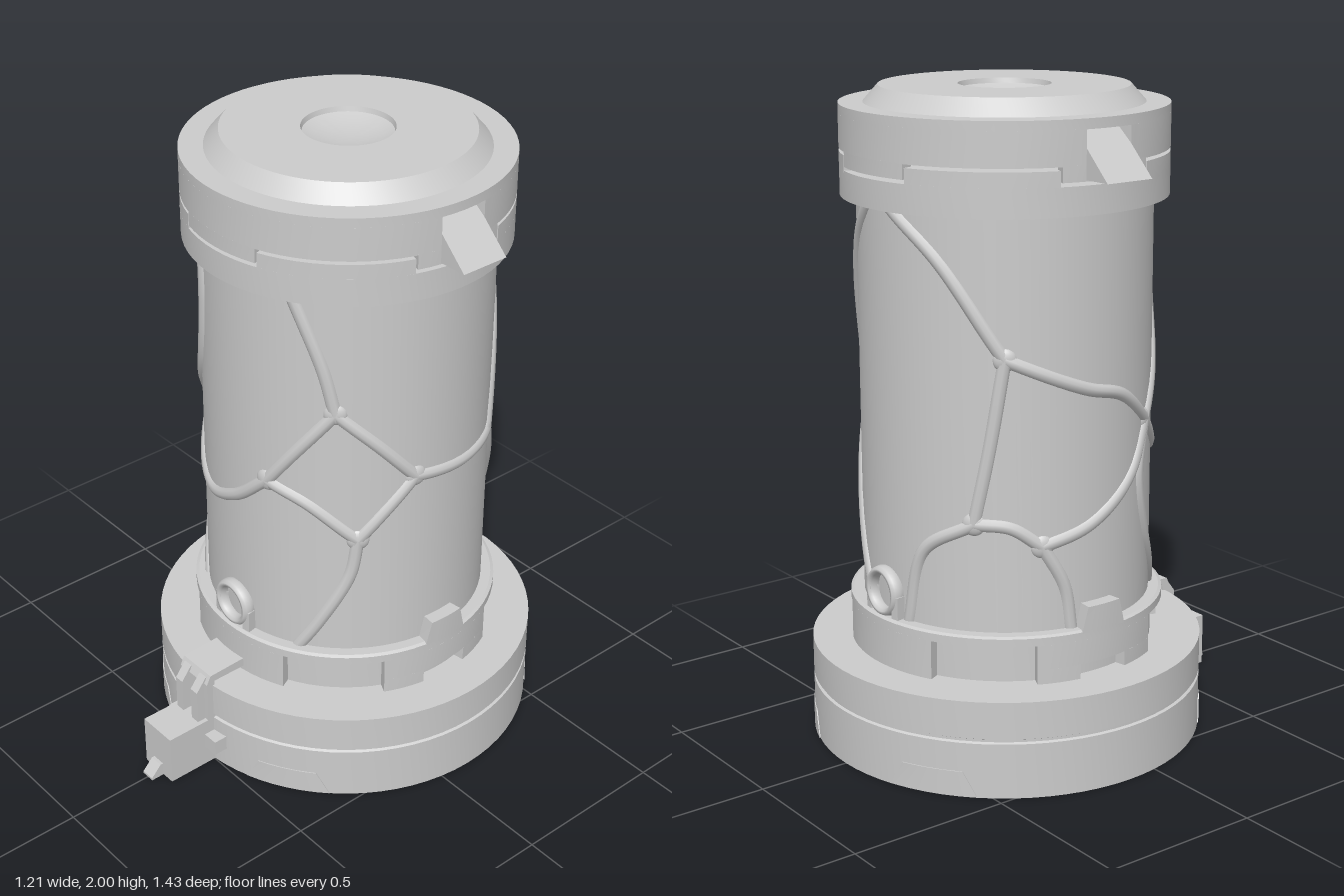
import * as THREE from 'three';
import { toCreasedNormals } from 'three/addons/utils/BufferGeometryUtils.js';

const mat = new THREE.MeshStandardMaterial({ color: 0xcccccc });
const rad = THREE.MathUtils.degToRad;
const lerp = THREE.MathUtils.lerp;
const BODY_R = 0.443;

// Angles are in degrees around the axis, 0 = front (+z), 90 = +x
const polar = (deg, r, y) => new THREE.Vector3(r * Math.sin(rad(deg)), y, r * Math.cos(rad(deg)));

export function createModel() {
  const model = new THREE.Group();
  model.name = 'canister';
  const canister = new THREE.Group();
  canister.name = 'canisterBody';
  canister.position.z = -0.105;
  model.add(canister);

  function add(name, geometry, parent = canister) {
    const mesh = new THREE.Mesh(geometry, mat);
    mesh.name = name;
    parent.add(mesh);
    return mesh;
  }

  // Revolved part; profile runs so that the surface is on its right-hand side
  function turned(name, profile) {
    const pts = profile.map(([r, y]) => new THREE.Vector2(r, y));
    return add(name, toCreasedNormals(new THREE.LatheGeometry(pts, 72), 0.4));
  }

  // Block bent round the axis; its top may be narrower than its bottom
  function bent(name, deg, halfBottom, halfTop, y0, y1, r0, r1) {
    const g = new THREE.BoxGeometry(1, 1, 1, Math.max(4, Math.ceil(halfBottom / 2.5)), 1, 1);
    const p = g.attributes.position;
    for (let i = 0; i < p.count; i++) {
      const half = lerp(halfBottom, halfTop, p.getY(i) + 0.5);
      const v = polar(deg + 2 * half * p.getX(i), lerp(r0, r1, p.getZ(i) + 0.5), lerp(y0, y1, p.getY(i) + 0.5));
      p.setXYZ(i, v.x, v.y, v.z);
    }
    return add(name, toCreasedNormals(g, 0.4));
  }

  // Hollow base with a groove round its middle
  turned('base', [[0, 0.28], [0.592, 0.28], [0.592, 0], [0.607, 0], [0.607, 0.17], [0.599, 0.174],
    [0.599, 0.182], [0.607, 0.186], [0.607, 0.3], [0, 0.3]]);
  for (const a of [32, 148, 212, 328]) bent('basePad', a, 13, 9, 0.002, 0.08, 0.6, 0.61);

  // Collar with recessed windows and side slots
  turned('collar', [[0.45, 0.3], [0.45, 0.42], [0.485, 0.42], [0.485, 0.445], [0.475, 0.45], [0.44, 0.45]]);
  for (const a of [0, 90, 180, 270]) {
    const slotted = a % 180 !== 0;
    bent('collarBlock', a, 26, 26, slotted ? 0.345 : 0.3, 0.42, 0.44, 0.485);
    if (slotted) {
      for (const s of [-1, 1]) bent('collarFoot', a + s * 18, 8, 8, 0.3, 0.345, 0.44, 0.485);
      bent('collarTab', a, 9.5, 7, 0.44, 0.52, 0.43, 0.485);
    }
  }

  // Main cylinder
  turned('body', [[BODY_R, 0.3], [BODY_R, 1.755], [0, 1.755]]);

  // Eyelets at front and back
  for (const a of [0, 180]) {
    const eyelet = add('eyelet', new THREE.TorusGeometry(0.065, 0.013, 10, 40));
    eyelet.position.copy(polar(a, 0.452, 0.52));
    eyelet.scale.z = 1.9;
    for (const s of [-1, 1]) bent('eyeletFoot', a + s * 8.4, 1.7, 1.7, 0.44, 0.52, 0.43, 0.472);
  }

  // Raised vines, each a list of [angle, height]
  const J = {
    left: [303, 1.02], front: [17, 1.03], upper: [45, 1.3], mid: [54, 0.86], side: [77, 1.06],
    rear: [127, 1.04], back: [233, 1.27], low: [221, 0.78], lowLeft: [247, 0.71],
  };
  const vines = [
    [[336, 1.7], [336, 1.5], [329, 1.28], J.left],
    [J.left, [319, 0.92], [341, 0.865], [360, 0.92], [377, 1.03]],
    [J.front, [29, 1.15], J.upper],
    [J.upper, [40, 1.45], [27, 1.7]],
    [J.upper, [61, 1.19], J.side],
    [J.front, [34, 0.98], J.mid],
    [J.mid, [64, 0.95], J.side],
    [J.mid, [51, 0.73], [39, 0.55], [30, 0.44]],
    [J.side, [102, 1.04], J.rear],
    [J.rear, [139, 1.32], [155, 1.55], [172, 1.7]],
    [J.rear, [143, 0.83], [160, 0.58], [172, 0.44]],
    [[182, 1.7], [207, 1.55], J.back],
    [J.back, [265, 1.17], [283, 1.13], J.left],
    [J.back, [227, 1.0], J.low],
    [J.low, [200, 0.68], [192, 0.44]],
    [J.low, [235, 0.77], J.lowLeft],
    [J.lowLeft, [256, 0.58], [259, 0.44]],
    [J.lowLeft, [268, 0.76], [291, 0.88], J.left],
    [J.left, [297, 0.86], [304, 0.67], [325, 0.44]],
  ];
  for (const vine of vines) {
    const flat = new THREE.CatmullRomCurve3(vine.map(([a, y]) => new THREE.Vector3(a * 0.008, y, 0)));
    const path = new THREE.CatmullRomCurve3(
      flat.getPoints(30).map((p) => polar(p.x / 0.008, BODY_R - 0.009, p.y)));
    add('vine', new THREE.TubeGeometry(path, 48, 0.022, 10));
  }
  for (const [a, y] of Object.values(J)) {
    const knot = add('vineKnot', new THREE.SphereGeometry(0.036, 20, 12));
    knot.position.copy(polar(a, BODY_R - 0.006, y));
    knot.rotation.y = rad(a);
    knot.scale.z = 0.5;
  }

  // Lower ring and lid, interlocking with a thin stepped gap
  turned('lowerRing', [[0.44, 1.68], [0.49, 1.68], [0.49, 1.765], [0.44, 1.765]]);
  for (const a of [0, 90, 180, 270]) {
    bent('lowerTooth', a + 45, 26.5, 26.5, 1.76, 1.81, 0.45, 0.49);
    bent('lidTooth', a, 17.8, 17.8, 1.776, 1.822, 0.45, 0.49);
  }
  turned('lid', [[0, 1.83], [0.42, 1.83], [0.42, 1.92], [0.49, 1.92], [0.49, 1.95], [0.417, 1.95],
    [0.373, 2], [0.138, 2], [0.134, 1.985], [0.1, 1.972], [0.05, 1.964], [0, 1.961]]);
  for (const a of [0, 180]) bent('lidWall', a, 80.6, 80.6, 1.82, 1.921, 0.41, 0.49);

  // Side lugs sloping out of pockets in the lid
  const lugShape = new THREE.Shape([[0.41, 1.78], [0.575, 1.78], [0.43, 1.92], [0.41, 1.92]]
    .map(([x, y]) => new THREE.Vector2(x, y)));
  for (const a of [0, Math.PI]) {
    const g = new THREE.ExtrudeGeometry(lugShape, { depth: 0.16, bevelEnabled: false });
    g.translate(0, 0, -0.08);
    add('sideLug', g).rotation.y = a;
  }

  // Front latch
  const latch = new THREE.Group();
  latch.name = 'latch';
  model.add(latch);
  function box(name, x, y0, y1, z0, z1, w) {
    add(name, new THREE.BoxGeometry(w, y1 - y0, z1 - z0), latch)
      .position.set(x, (y0 + y1) / 2, (z0 + z1) / 2);
  }
  function side(name, pts, w, x = 0) {
    const shape = new THREE.Shape(pts.map(([z, y]) => new THREE.Vector2(z, y)));
    const g = new THREE.ExtrudeGeometry(shape, { depth: w, bevelEnabled: false });
    g.translate(0, 0, -w / 2).rotateY(-Math.PI / 2).translate(x, 0, 0);
    add(name, g, latch);
  }
  box('latchBlock', 0, 0, 0.17, 0.48, 0.67, 0.136);
  side('latchFoot', [[0.66, 0], [0.715, 0], [0.715, 0.008], [0.68, 0.045], [0.66, 0.045]], 0.046);
  side('latchStrap', [[0.37, 0.315], [0.49, 0.315], [0.49, 0.16], [0.52, 0.16], [0.52, 0.31],
    [0.505, 0.34], [0.37, 0.345]], 0.136);
  for (const s of [-1, 1]) {
    side('latchRail', [[0.5, 0.16], [0.55, 0.16], [0.55, 0.285], [0.515, 0.33], [0.5, 0.33]], 0.032, s * 0.038);
    box('latchPin', s * 0.09, 0.07, 0.12, 0.48, 0.535, 0.06);
  }
  return model;
}
